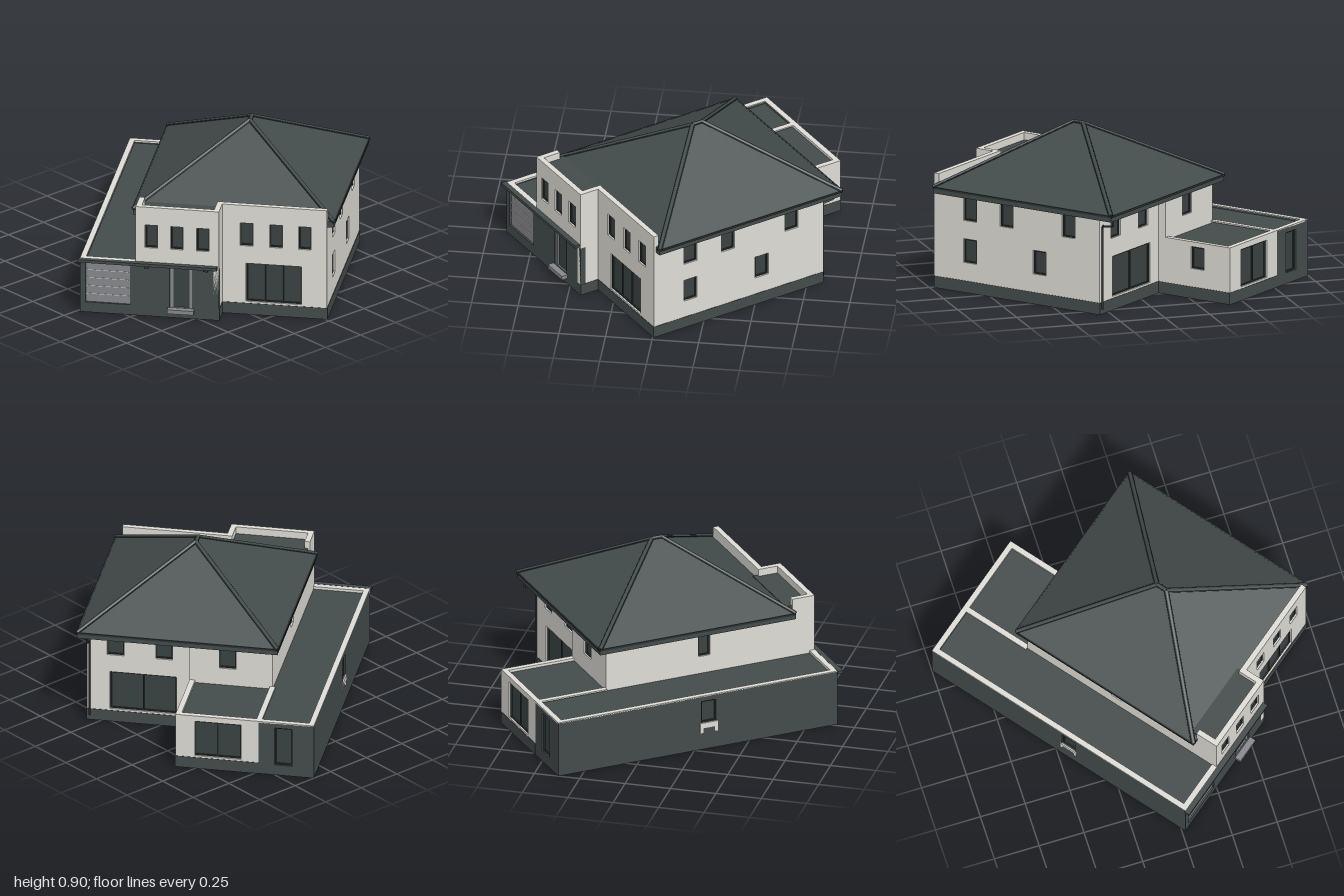
import * as THREE from 'three';

const mat = (name, color, side = THREE.FrontSide) => {
  const m = new THREE.MeshStandardMaterial({ color, side });
  m.name = name;
  return m;
};

export function createModel() {
  const render = mat('light render', 0xdedcd5);
  const slate = mat('dark slate', 0x444b4b, THREE.DoubleSide);
  const glass = mat('dark glass', 0x3a4242);
  const trim = mat('black trim', 0x2c3232);
  const steel = mat('grey steel', 0x87888c);

  const model = new THREE.Group();
  const house = new THREE.Group();
  house.name = 'house';
  house.rotation.y = THREE.MathUtils.degToRad(38.7); // the plan stands diagonally
  model.add(house);

  const T = 0.03; // wall thickness

  function add(parent, name, geo, material, x = 0, y = 0, z = 0) {
    const m = new THREE.Mesh(geo, material);
    m.name = name;
    m.position.set(x, y, z);
    parent.add(m);
    return m;
  }
  // box given by its min and max on each axis
  const block = (parent, name, material, x0, x1, y0, y1, z0, z1) =>
    add(parent, name, new THREE.BoxGeometry(x1 - x0, y1 - y0, z1 - z0), material,
      (x0 + x1) / 2, (y0 + y1) / 2, (z0 + z1) / 2);

  // frame and panes set back inside one wall opening
  function fillOpening(g, { s, w, y0, y1, kind = 'window', panes = 1 }) {
    const a = s - w / 2, b = s + w / 2, f = 0.007;
    if (kind === 'garage') {
      block(g, 'garageDoor', steel, a, b, y0, y1, -0.018, -0.01);
      for (let i = 1; i < 5; i++) {
        const y = y0 + (y1 - y0) * i / 5;
        block(g, 'garageDoorSeam', render, a + 0.01, b - 0.01, y - 0.0015, y + 0.0015, -0.01, -0.008);
      }
      return;
    }
    block(g, kind + 'Glass', glass, a, b, y0, y1, -0.022, -0.016);
    const frame = kind === 'entrance' ? steel : trim;
    const fw = kind === 'entrance' ? 0.02 : f;
    for (let i = 0; i <= panes; i++) {
      const x = a + (w - fw) * i / panes;
      block(g, kind + 'Upright', frame, x, x + fw, y0, y1, -0.016, -0.009);
    }
    block(g, kind + 'Head', frame, a, b, y1 - f, y1, -0.016, -0.009);
    block(g, kind + 'Sill', frame, a, b, y0, y0 + f, -0.016, -0.009);
  }

  // wall from (x0,z0) to (x1,z1); outside is on the right-hand side of that walk
  function wall(name, material, [x0, z0], [x1, z1], y0, y1, openings = []) {
    const g = new THREE.Group();
    g.name = name;
    g.position.set(x0, 0, z0);
    g.rotation.y = Math.atan2(z0 - z1, x1 - x0);
    house.add(g);
    const L = Math.hypot(x1 - x0, z1 - z0);
    const start = Math.abs(x1 - x0) > Math.abs(z1 - z0) ? x0 : z0;
    const shape = new THREE.Shape();
    shape.moveTo(0, y0).lineTo(L, y0).lineTo(L, y1).lineTo(0, y1).closePath();
    for (const [c, w, b, t, kind, panes] of openings) {
      const s = Math.abs(c - start);
      const hole = new THREE.Path();
      hole.moveTo(s - w / 2, b).lineTo(s - w / 2, t).lineTo(s + w / 2, t).lineTo(s + w / 2, b).closePath();
      shape.holes.push(hole);
      fillOpening(g, { s, w, y0: b, y1: t, kind, panes });
    }
    const geo = new THREE.ExtrudeGeometry(shape, { depth: T, bevelEnabled: false });
    geo.translate(0, 0, -T);
    add(g, name + 'Panel', geo, material);
    if (y0 > 0 && y0 < 0.1) // dark plinth below rendered walls
      block(g, name + 'Plinth', slate, 0, L, 0, y0, -T, 0.002);
  }

  // plan lines
  const gx = -0.55, ax = -0.25, bx = 0.2, cx = 0.765;
  const front = 0.715, front2 = 0.605, back2 = -0.455, back = -0.5, rear = -0.912;
  const base = 0.065, low = 0.308, eave = 0.55, parapet = 0.63;
  const up = (c, w = 0.068) => [c, w, 0.396, 0.527];

  // front
  wall('entranceWall', slate, [gx, front], [bx, front], 0, 0.292,
    [[-0.408, 0.26, 0.058, 0.288, 'garage'], [-0.004, 0.125, 0.05, 0.288, 'entrance']]);
  wall('entranceBand', render, [gx, front], [bx, front], 0.292, low);
  wall('upperFrontWall', render, [ax, front], [bx, front], low, parapet,
    [-0.165, -0.027, 0.113].map((c) => up(c)));
  wall('frontStepWall', render, [bx, front], [bx, front2 - T], base, parapet);
  wall('livingFrontWall', render, [bx, front2], [cx, front2], base, parapet,
    [...[0.331, 0.49, 0.646].map((c) => up(c)), [0.478, 0.3, 0.075, 0.295, 'window', 3]]);

  // right side
  wall('rightWall', render, [cx, front2], [cx, back2], base, eave,
    [...[0.376, 0.141, -0.256].map((c) => up(c, 0.083)),
      ...[0.376, -0.07].map((c) => [c, 0.083, 0.165, 0.295])]);

  // back
  wall('livingBackWall', render, [cx, back2], [bx, back2], base, eave,
    [up(0.61, 0.09), up(0.346, 0.09), [0.46, 0.36, 0.075, 0.295, 'window', 2]]);
  wall('backStepWall', render, [bx, back2 + T], [bx, back], base, eave);
  wall('upperBackWall', render, [bx, back], [ax, back], 0.28, eave, [up(-0.006, 0.09)]);
  wall('annexSideWall', render, [bx, back], [bx, rear], base, low, [[-0.705, 0.083, 0.165, 0.285]]);
  wall('annexBackWall', render, [bx, rear], [ax, rear], base, low, [[-0.03, 0.25, 0.075, 0.28, 'window', 2]]);
  wall('garageBackWall', slate, [ax, rear], [gx, rear], 0, low, [[-0.385, 0.095, 0.06, 0.28, 'door']]);

  // left side
  wall('garageLeftWall', slate, [gx, rear], [gx, front], 0, low, [[-0.034, 0.085, 0.155, 0.28]]);
  wall('upperLeftWall', render, [ax, back], [ax, front - T], 0.28, eave, [up(0.072)]);
  block(house, 'parapetReturn', render, ax, ax + T, eave, parapet, 0.585, front);
  block(house, 'windowLedge', render, gx - 0.006, gx, 0.125, 0.155, -0.085, 0.017);
  for (const z of [-0.085, 0.0])
    block(house, 'ledgeBracket', render, gx - 0.006, gx, 0.098, 0.125, z, z + 0.017);

  // pale copings round the flat roofs
  const coping = (x0, x1, z0, z1) => block(house, 'coping', render, x0, x1, 0.304, 0.312, z0, z1);
  coping(gx, gx + T, rear, front);
  coping(gx, bx, rear, rear + T);
  coping(bx - T, bx, rear, back);
  coping(ax - T / 2, ax + T / 2, rear, back);
  coping(gx, ax, front - T, front);

  // flat roofs
  block(house, 'garageRoof', slate, gx + 0.01, ax, 0.283, 0.297, rear + 0.01, front - 0.01);
  block(house, 'annexRoof', slate, ax, bx - 0.01, 0.283, 0.297, rear + 0.01, back);
  block(house, 'bayRoof', slate, ax + 0.01, bx - 0.01, 0.575, 0.59, 0.55, front - 0.01);

  // entrance canopy, step and door leaf
  block(house, 'canopy', slate, gx - 0.008, bx - 0.008, 0.297, 0.313, front, 0.745);
  block(house, 'doorStep', steel, -0.075, 0.068, 0.035, 0.058, front, front + 0.035);
  for (const x of [-0.19, 0.13])
    block(house, 'downlight', trim, x - 0.012, x + 0.012, 0.284, 0.297, front, front + 0.02);

  // hipped roof from three stacked cross-sections
  const rx0 = -0.285, rx1 = 0.8, rz0 = -0.55, rz1 = 0.59, mid = (rx0 + rx1) / 2;
  const ring = (x0, x1, z0, z1, y) => [[x0, y, z1], [x1, y, z1], [x1, y, z0], [x0, y, z0]];
  const rings = [ring(rx0, rx1, rz0, rz1, 0.528), ring(rx0, rx1, rz0, rz1, 0.562),
    ring(mid, mid, -0.01, 0.05, 0.885)];
  const pos = [];
  for (let r = 0; r < 2; r++) {
    for (let i = 0; i < 4; i++) {
      const j = (i + 1) % 4;
      const [a, b, c, d] = [rings[r][i], rings[r][j], rings[r + 1][j], rings[r + 1][i]];
      pos.push(...a, ...b, ...c, ...a, ...c, ...d);
    }
  }
  const [p, q, s, t] = rings[0];
  pos.push(...p, ...s, ...q, ...p, ...t, ...s); // soffit
  const roofGeo = new THREE.BufferGeometry();
  roofGeo.setAttribute('position', new THREE.Float32BufferAttribute(pos, 3));
  roofGeo.computeVertexNormals();
  add(house, 'hippedRoof', roofGeo, slate);

  // rounded caps along hips and ridge
  function cap(name, a, b) {
    const A = new THREE.Vector3(...a), B = new THREE.Vector3(...b);
    const m = add(house, name, new THREE.CylinderGeometry(0.011, 0.011, A.distanceTo(B), 8), slate);
    m.position.copy(A).add(B).multiplyScalar(0.5);
    m.quaternion.setFromUnitVectors(new THREE.Vector3(0, 1, 0), B.sub(A).normalize());
    // dark joints on both sides of the cap
    for (const k of [-0.011, 0.011]) {
      const line = add(m, name + 'Joint', new THREE.CylinderGeometry(0.003, 0.003, m.geometry.parameters.height, 5), trim);
      const side = new THREE.Vector3(b[0] - a[0], 0, b[2] - a[2]).normalize().cross(new THREE.Vector3(0, 1, 0));
      line.position.copy(side.multiplyScalar(k).applyQuaternion(m.quaternion.clone().invert()));
    }
  }
  for (let i = 0; i < 4; i++) cap('hipCap', rings[1][i], rings[2][i]);
  cap('ridgeCap', rings[2][0], rings[2][3]);

  // gutters along the open eaves
  block(house, 'rightGutter', trim, rx1 - 0.002, rx1 + 0.006, 0.553, 0.564, rz0, rz1 - 0.01);
  block(house, 'leftGutter', trim, rx0 - 0.006, rx0 + 0.002, 0.553, 0.564, rz0, rz1 - 0.01);
  block(house, 'backGutter', trim, rx0, rx1, 0.553, 0.564, rz0 - 0.006, rz0 + 0.002);

  // downpipe at the back corner
  const pipe = new THREE.CurvePath();
  const pts = [[0.53, -0.53], [0.492, -0.53], [0.485, -0.463], [0.03, -0.463]]
    .map(([y, z]) => new THREE.Vector3(0.75, y, z));
  for (let i = 0; i < 3; i++) pipe.add(new THREE.LineCurve3(pts[i], pts[i + 1]));
  add(house, 'downpipe', new THREE.TubeGeometry(pipe, 60, 0.006, 6), trim);

  return model;
}
